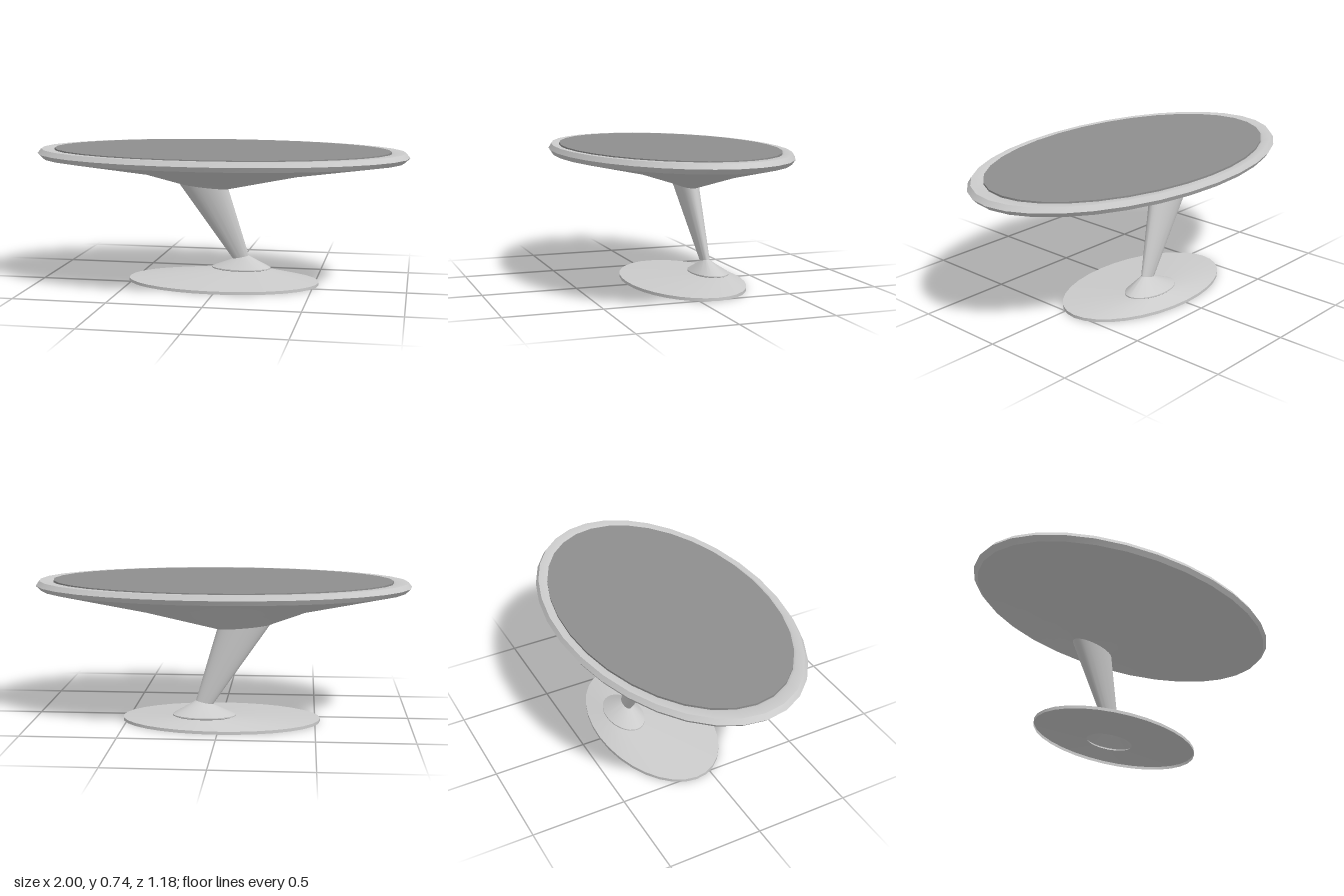
import * as THREE from 'three';
import { toCreasedNormals } from 'three/addons/utils/BufferGeometryUtils.js';

const SEGMENTS = 32;

// Skins a stack of elliptical rings, listed bottom to top along the outside.
// Ring: [centre x, y, centre z, x radius, z radius, rise of the +x end]
function loft(rings) {
  const positions = [];
  const index = [];
  rings.forEach(([cx, y, cz, rx, rz, rise = 0], r) => {
    for (let i = 0; i < SEGMENTS; i++) {
      const a = (i / SEGMENTS) * Math.PI * 2;
      positions.push(cx + rx * Math.cos(a), y + rise * Math.cos(a), cz + rz * Math.sin(a));
      if (r === 0) continue;
      const j = (i + 1) % SEGMENTS;
      const low = (r - 1) * SEGMENTS;
      const high = r * SEGMENTS;
      index.push(low + i, high + i, low + j);
      if (rx > 0) index.push(low + j, high + i, high + j);
    }
  });
  const geometry = new THREE.BufferGeometry();
  geometry.setAttribute('position', new THREE.Float32BufferAttribute(positions, 3));
  geometry.setIndex(index);
  return toCreasedNormals(geometry, 0.5);
}

export function createModel() {
  const group = new THREE.Group();
  const grey = new THREE.MeshStandardMaterial({ color: 0xcccccc, side: THREE.DoubleSide });
  const dark = new THREE.MeshStandardMaterial({ color: 0x8e8e8e, side: THREE.DoubleSide });

  const add = (name, rings, material = grey) => {
    const mesh = new THREE.Mesh(loft(rings), material);
    mesh.name = name;
    group.add(mesh);
  };

  // Rings shared by neighbouring parts
  const collarSeat = [0.08, 0.05, -0.217, 0.15, 0.092];
  const legFoot = [0.08, 0.12, -0.197, 0.045, 0.0225, 0.01];
  const legNeck = [-0.122, 0.518, -0.16, 0.138, 0.061, -0.013];
  const underRim = [0, 0.69, 0, 0.975, 0.575];

  // Shallow hollow foot, rising off-centre to the collar
  add('base', [
    [0, 0, -0.09, 0.527, 0.311],
    [0, 0.016, -0.09, 0.527, 0.311],
    collarSeat,
  ]);

  // Flared collar around the foot of the leg
  add('collar', [
    collarSeat,
    [0.08, 0.055, -0.215, 0.166, 0.1],
    [0.08, 0.061, -0.215, 0.166, 0.1],
    legFoot,
  ]);

  // Slanted, widening leg
  add('leg', [legFoot, legNeck]);

  // Flared underside of the top
  add('underside', [
    legNeck,
    [-0.01, 0.602, -0.107, 0.46, 0.278],
    underRim,
  ]);

  // Bevelled rim with a small lip around the panel
  add('rim', [
    underRim,
    [0, 0.715, 0, 1, 0.59],
    [0, 0.74, 0, 0.98, 0.576],
    [0, 0.74, 0, 0.92, 0.546],
    [0, 0.734, 0, 0.905, 0.535],
  ]);

  // Slightly raised darker table panel
  add('tabletopPanel', [
    [0, 0.73, 0, 0.905, 0.535],
    [0, 0.744, 0, 0.905, 0.535],
    [0, 0.744, 0, 0, 0],
  ], dark);

  return group;
}
